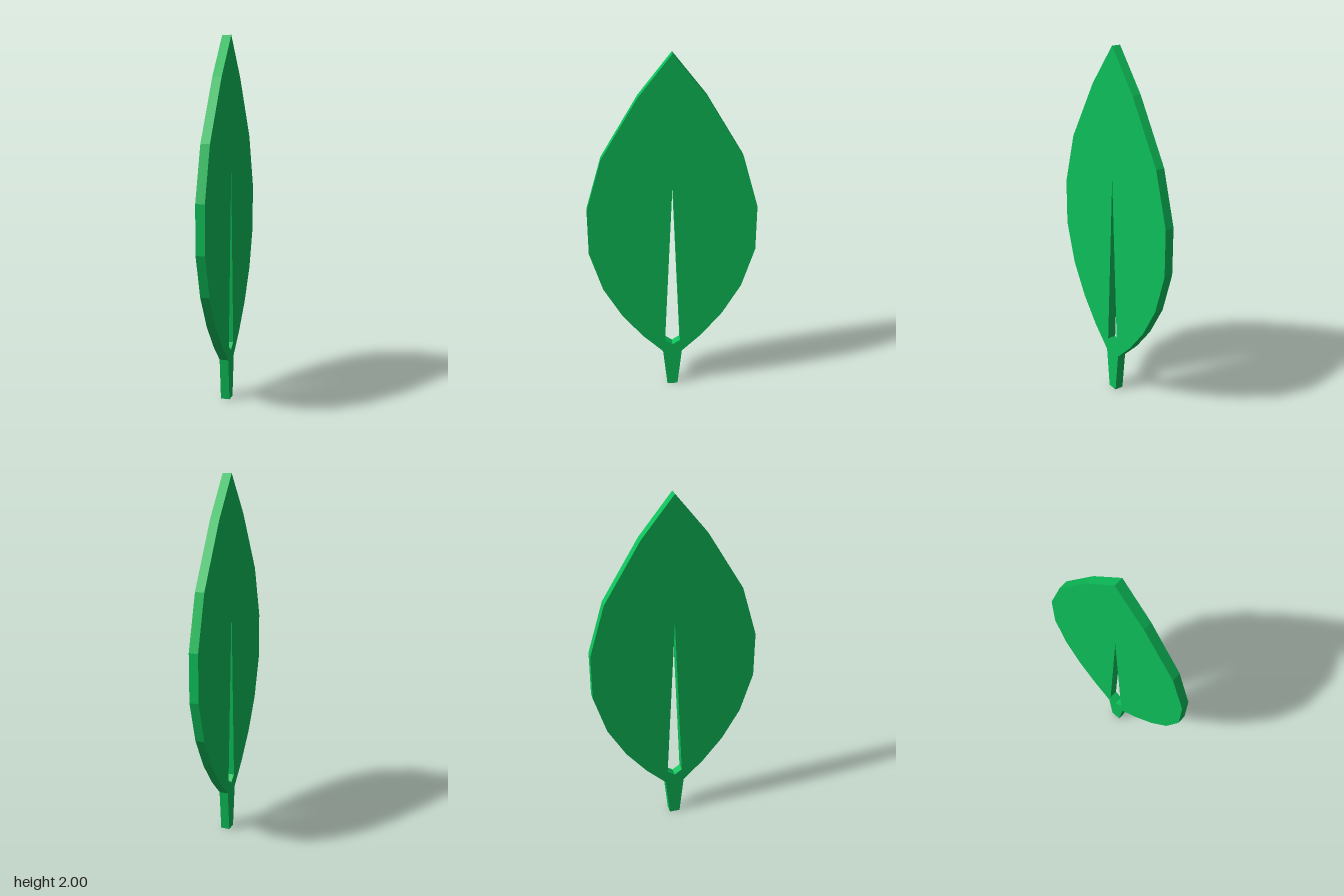
import * as THREE from 'three';

const THICKNESS = 0.05;

export function createModel() {
  const group = new THREE.Group();
  group.name = 'leaf';

  // Half outline from the stem foot up to the tip: [half width, height]
  const half = [
    [0.03, 0], [0.055, 0.235], [0.168, 0.345], [0.285, 0.49], [0.388, 0.67],
    [0.458, 0.9], [0.458, 1.16], [0.373, 1.45], [0.175, 1.78],
  ];
  const points = [
    ...half.map(([x, y]) => new THREE.Vector2(x, y)),
    new THREE.Vector2(0, 2),
    ...half.map(([x, y]) => new THREE.Vector2(-x, y)).reverse(),
  ];
  const outline = new THREE.Shape(points);

  // Tapered slot along the midrib
  const slot = [[0, 0.28], [-0.043, 0.31], [0, 1.3], [0.043, 0.31]];
  outline.holes.push(new THREE.Path(slot.map(([x, y]) => new THREE.Vector2(x, y))));

  const geometry = new THREE.ExtrudeGeometry(outline, { depth: THICKNESS, bevelEnabled: false });
  geometry.translate(0, 0, -THICKNESS / 2);

  const material = new THREE.MeshStandardMaterial({ color: 0x0dbf5a, flatShading: true });
  const blade = new THREE.Mesh(geometry, material);
  blade.name = 'leafBladeAndStem';

  // The flat leaf stands diagonally
  blade.rotation.y = Math.PI / 4;
  group.add(blade);
  return group;
}
